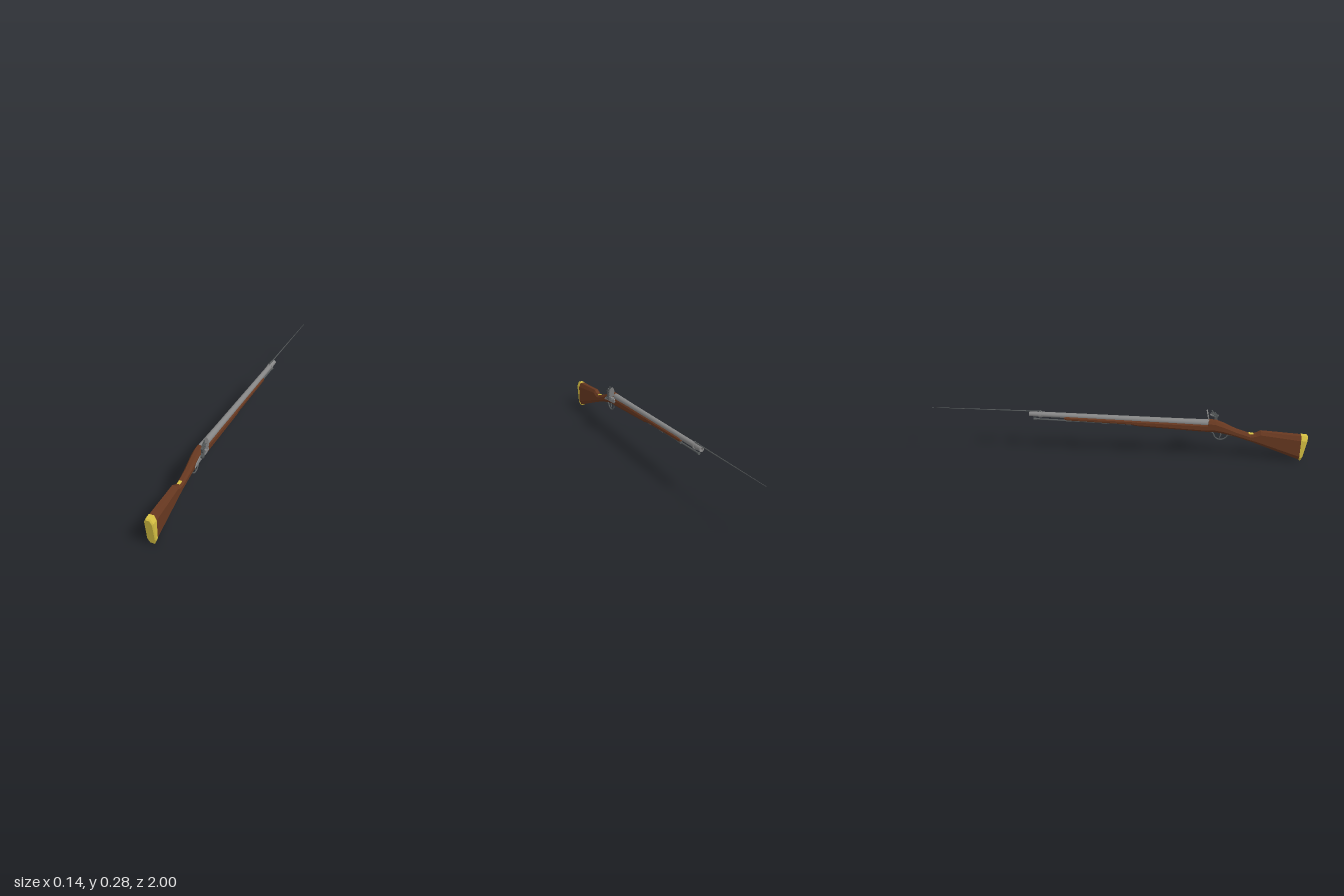
import * as THREE from 'three';

export function createModel() {
  const mat = (name, color) => {
    const m = new THREE.MeshStandardMaterial({ color });
    m.name = name;
    return m;
  };
  const wood = mat('walnut', 0x673820);
  const brass = mat('brass', 0xd6c042);
  const steel = mat('barrel steel', 0x858585);
  const iron = mat('dark iron', 0x55595a);
  wood.flatShading = brass.flatShading = true;

  const gun = new THREE.Group();
  gun.name = 'musket';
  const add = (name, geo, material) => {
    const mesh = new THREE.Mesh(geo, material);
    mesh.name = name;
    gun.add(mesh);
    return mesh;
  };

  // Loft of chamfered sections: [zBottom, zTop, yBottom, yTop, halfWidth, chamferX, chamferY]
  const loft = (rings) => {
    const pos = [], idx = [];
    for (const [zb, zt, b, t, w, h, v] of rings) {
      const n = w - h;
      const pts = [[w, b + v], [w, t - v], [n, t], [-n, t], [-w, t - v], [-w, b + v], [-n, b], [n, b]];
      for (const [x, y] of pts) pos.push(x, y, zb + (zt - zb) * (y - b) / (t - b));
    }
    for (let i = 0; i < rings.length - 1; i++) {
      for (let j = 0; j < 8; j++) {
        const a = i * 8 + j, b = i * 8 + (j + 1) % 8;
        idx.push(a, b, b + 8, a, b + 8, a + 8);
      }
    }
    const last = (rings.length - 1) * 8;
    for (let j = 1; j < 7; j++) idx.push(0, j + 1, j, last, last + j, last + j + 1);
    const g = new THREE.BufferGeometry();
    g.setAttribute('position', new THREE.Float32BufferAttribute(pos, 3));
    g.setIndex(idx);
    g.computeVertexNormals();
    return g;
  };

  // Tapered round bar between two points
  const rod = (name, from, to, r0, r1, material, sides = 16) => {
    const a = new THREE.Vector3(...from), b = new THREE.Vector3(...to);
    const dir = b.clone().sub(a);
    const mesh = add(name, new THREE.CylinderGeometry(r1, r0, dir.length(), sides), material);
    mesh.position.copy(a).add(b).multiplyScalar(0.5);
    mesh.quaternion.setFromUnitVectors(new THREE.Vector3(0, 1, 0), dir.normalize());
    return mesh;
  };

  // Side outline in (z, y), given thickness along x and centred at x
  const sidePlate = (name, pts, x, thick, material) => {
    const shape = new THREE.Shape(pts.map((p) => new THREE.Vector2(...p)));
    const g = new THREE.ExtrudeGeometry(shape, { depth: thick, bevelEnabled: false });
    g.rotateY(-Math.PI / 2).translate(x + thick / 2, 0, 0);
    return add(name, g, material);
  };

  // Stock: fore-end, breech, wrist and butt
  add('stock', loft([
    [-0.295, -0.295, 0.222, 0.238, 0.016, 0.006, 0.005],
    [-0.28, -0.28, 0.217, 0.240, 0.020, 0.008, 0.007],
    [0.06, 0.06, 0.201, 0.229, 0.021, 0.008, 0.008],
    [0.09, 0.09, 0.193, 0.228, 0.021, 0.008, 0.010],
    [0.40, 0.40, 0.172, 0.219, 0.022, 0.008, 0.012],
    [0.468, 0.468, 0.168, 0.217, 0.022, 0.008, 0.012],
    [0.472, 0.472, 0.168, 0.233, 0.022, 0.010, 0.014],
    [0.51, 0.51, 0.165, 0.231, 0.022, 0.011, 0.016],
    [0.55, 0.55, 0.158, 0.216, 0.021, 0.011, 0.016],
    [0.62, 0.62, 0.139, 0.181, 0.018, 0.009, 0.012],
    [0.70, 0.70, 0.112, 0.154, 0.017, 0.008, 0.012],
    [0.725, 0.725, 0.103, 0.160, 0.018, 0.009, 0.014],
    [0.75, 0.75, 0.093, 0.173, 0.019, 0.009, 0.016],
    [0.965, 0.965, 0.009, 0.154, 0.024, 0.012, 0.024],
  ]), wood);

  // Butt plate and thumb plate
  add('buttPlate', loft([
    [0.965, 0.964, 0.007, 0.156, 0.025, 0.012, 0.024],
    [0.972, 0.995, 0.001, 0.154, 0.024, 0.012, 0.024],
    [0.978, 1.001, 0.008, 0.147, 0.019, 0.010, 0.022],
  ]), brass);
  const thumb = add('thumbPlate', new THREE.BoxGeometry(0.016, 0.005, 0.03), brass);
  thumb.position.set(0, 0.156, 0.702);
  thumb.rotation.x = 0.15;

  // Barrel with open muzzle
  const tilt = 0.0325;
  const profile = [[0, 0], [0.0185, 0], [0.0185, 0.02], [0.0165, 0.2], [0.0135, 0.955], [0.0085, 0.955], [0.0085, 0.9], [0, 0.9]];
  const tube = [];
  profile.forEach((p, i) => {
    const v = new THREE.Vector2(...p);
    tube.push(v);
    if (i > 0 && i < profile.length - 1) tube.push(v.clone());
  });
  const barrel = add('barrel', new THREE.LatheGeometry(tube, 20), steel);
  barrel.position.set(0, 0.216, 0.475);
  barrel.rotation.x = -Math.PI / 2 + tilt;

  // Bayonet socket, collar and blade
  rod('bayonetSocket', [0, 0.245, -0.41], [0, 0.2465, -0.455], 0.0148, 0.0148, steel);
  rod('bayonetCollar', [0, 0.2445, -0.415], [0, 0.245, -0.428], 0.0175, 0.0175, steel);
  rod('bayonetLug', [0, 0.256, -0.42], [0, 0.268, -0.42], 0.005, 0.004, iron, 8);
  rod('bayonetBlade', [0, 0.262, -0.415], [-0.004, 0.273, -1.0], 0.0035, 0.0012, iron, 6);

  // Ramrod with its head and pipes
  rod('ramrod', [0, 0.196, 0.08], [0, 0.216, -0.45], 0.0042, 0.0042, iron, 10);
  rod('ramrodHead', [0, 0.2155, -0.44], [0, 0.2165, -0.458], 0.005, 0.0075, iron, 10);
  for (const z of [-0.27, -0.08, 0.05]) {
    const y = 0.199 - 0.0377 * z;
    rod('ramrodPipe', [0, y, z + 0.014], [0, y + 0.001, z - 0.014], 0.0075, 0.0075, iron, 10);
  }

  // Trigger guard and trigger
  const path = [[0.47, 0.166], [0.497, 0.157], [0.507, 0.135], [0.525, 0.119], [0.55, 0.118],
    [0.57, 0.132], [0.578, 0.145], [0.60, 0.142]].map(([z, y]) => new THREE.Vector3(0, y, z));
  add('triggerGuard', new THREE.TubeGeometry(new THREE.CatmullRomCurve3(path), 32, 0.0036, 8), iron);
  sidePlate('trigger', [[0.533, 0.165], [0.538, 0.145], [0.532, 0.128], [0.537, 0.127], [0.544, 0.145], [0.543, 0.165]], 0, 0.005, iron);

  // Lock plate, pan, cock and frizzen on the model's left side
  sidePlate('lockPlate', [[0.435, 0.198], [0.45, 0.185], [0.53, 0.180], [0.58, 0.172], [0.565, 0.188],
    [0.53, 0.206], [0.45, 0.212]], 0.022, 0.007, steel);
  const pan = add('pan', new THREE.BoxGeometry(0.018, 0.012, 0.03), steel);
  pan.position.set(0.028, 0.213, 0.473);
  sidePlate('cock', [[0.505, 0.190], [0.524, 0.192], [0.528, 0.206], [0.518, 0.22], [0.521, 0.235], [0.526, 0.246],
    [0.516, 0.25], [0.508, 0.262], [0.492, 0.258], [0.494, 0.246], [0.503, 0.236], [0.504, 0.216]], 0.030, 0.009, iron);
  rod('cockScrew', [0.024, 0.2, 0.515], [0.038, 0.2, 0.515], 0.007, 0.006, iron, 10);
  rod('jawScrew', [0.029, 0.24, 0.505], [0.029, 0.276, 0.489], 0.004, 0.004, iron, 8);
  for (const [y, z] of [[0.243, 0.5], [0.255, 0.496]]) {
    const jaw = add('jaw', new THREE.BoxGeometry(0.017, 0.005, 0.022), iron);
    jaw.position.set(0.029, y, z);
    jaw.rotation.x = 0.4;
  }
  const flint = add('flint', new THREE.BoxGeometry(0.012, 0.005, 0.02), steel);
  flint.position.set(0.029, 0.248, 0.49);
  flint.rotation.x = 0.4;
  const frizzen = add('frizzen', new THREE.CylinderGeometry(1, 1, 1, 20), steel);
  frizzen.scale.set(0.015, 0.006, 0.032);
  frizzen.position.set(0.028, 0.247, 0.469);
  frizzen.rotation.x = Math.PI / 2 - 0.2;

  // The whole piece rests slightly turned about the vertical
  gun.rotation.y = 0.058;
  gun.position.x = -0.01;
  const model = new THREE.Group();
  model.name = 'model';
  model.add(gun);
  return model;
}
